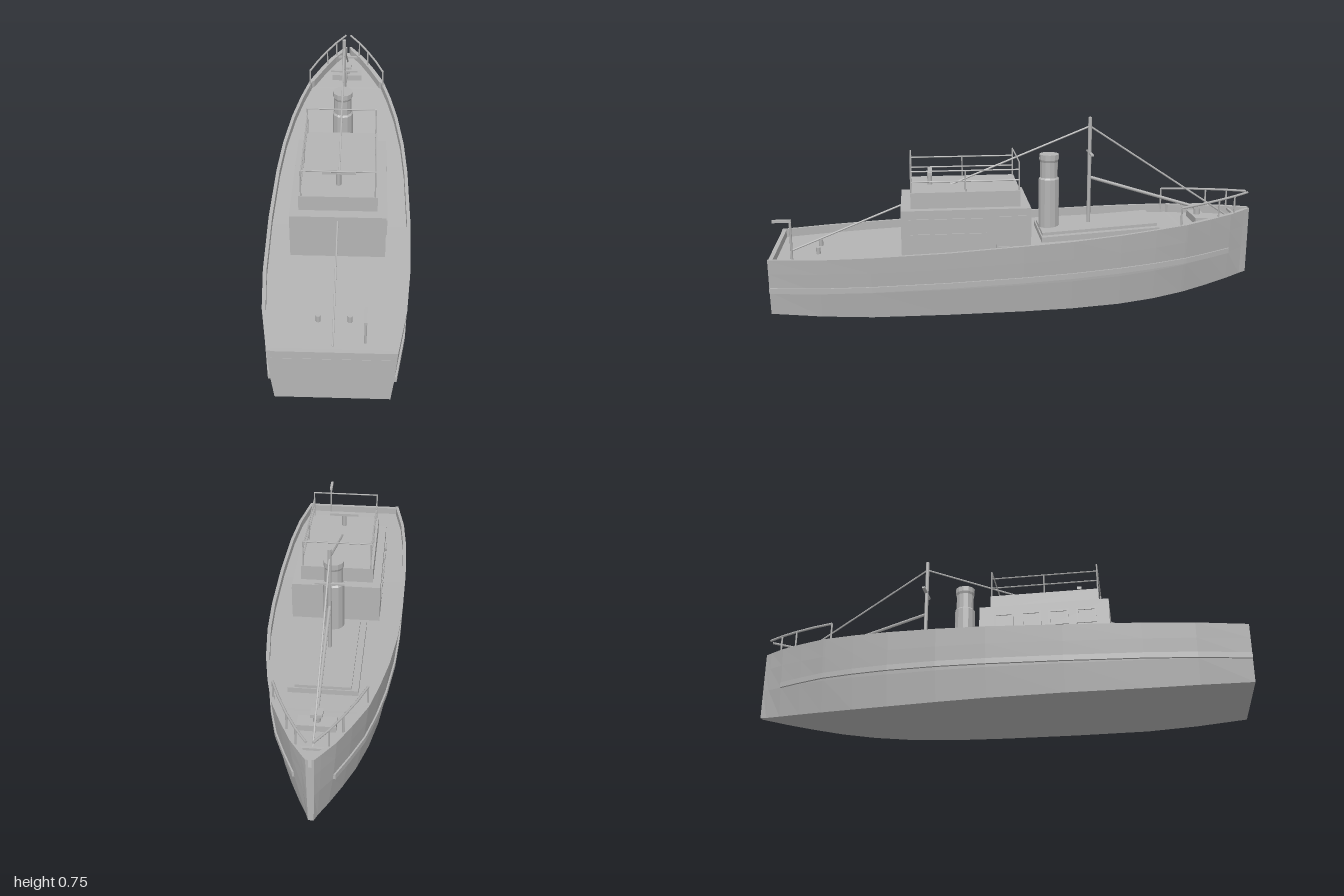
import * as THREE from 'three';

const grey = new THREE.MeshStandardMaterial({ color: 0xb4b4b4 });
grey.name = 'plain grey';

// Hull stations: z, half-width at keel, half-width at rail, keel height, rail height
const stations = [
  [1, 0.205, 0.225, 0.015, 0.243], [0.8, 0.232, 0.26, 0.006, 0.248], [0.6, 0.246, 0.276, 0, 0.255],
  [0.3, 0.25, 0.283, 0, 0.267], [0, 0.243, 0.278, 0, 0.284], [-0.2, 0.23, 0.266, 0, 0.294],
  [-0.4, 0.205, 0.241, 0.003, 0.306], [-0.55, 0.175, 0.212, 0.01, 0.316], [-0.68, 0.138, 0.18, 0.02, 0.324],
  [-0.69, 0.135, 0.177, 0.021, 0.325], [-0.8, 0.094, 0.13, 0.033, 0.332], [-0.9, 0.052, 0.082, 0.045, 0.338],
  [-0.97, 0.02, 0.036, 0.055, 0.343], [-1, 0.01, 0.015, 0.06, 0.345],
];
const lerp = THREE.MathUtils.lerp;

// Interpolated station at any z
function stationAt(z) {
  let i = 0;
  while (i < stations.length - 2 && stations[i + 1][0] > z) i++;
  const a = stations[i], b = stations[i + 1], t = (z - a[0]) / (b[0] - a[0]);
  return a.map((v, k) => lerp(v, b[k], t));
}
const deckY = (z) => stationAt(z)[4] - 0.035;

// Half-width of the hull side at height y
function sideWidth([, wb, wt, yk, yt], y) {
  return lerp(wb, wt, Math.pow((y - yk) / (yt - yk), 0.7));
}

// Faceted skin over closed counter-clockwise sections, running towards -z, with end caps
function loft(sections, zs) {
  const pos = [], n = sections[0].length;
  const put = (i, j) => pos.push(sections[i][j % n].x, sections[i][j % n].y, zs[i]);
  for (let i = 0; i < zs.length - 1; i++) {
    for (let j = 0; j < n; j++) {
      put(i, j); put(i + 1, j); put(i, j + 1);
      put(i + 1, j); put(i + 1, j + 1); put(i, j + 1);
    }
  }
  const last = zs.length - 1;
  for (const [a, b, c] of THREE.ShapeUtils.triangulateShape(sections[0], [])) { put(0, a); put(0, b); put(0, c); }
  for (const [a, b, c] of THREE.ShapeUtils.triangulateShape(sections[last], [])) { put(last, c); put(last, b); put(last, a); }
  const g = new THREE.BufferGeometry();
  g.setAttribute('position', new THREE.Float32BufferAttribute(pos, 3));
  g.computeVertexNormals();
  return g;
}

export function createModel() {
  const model = new THREE.Group();
  model.name = 'boat';

  const add = (name, geometry) => {
    const m = new THREE.Mesh(geometry, grey);
    m.name = name;
    model.add(m);
    return m;
  };
  // Box given by its limits
  const box = (name, x0, x1, y0, y1, z0, z1) => {
    const m = add(name, new THREE.BoxGeometry(x1 - x0, y1 - y0, z1 - z0));
    m.position.set((x0 + x1) / 2, (y0 + y1) / 2, (z0 + z1) / 2);
    return m;
  };
  // Round bar between two points
  const rod = (name, a, b, r = 0.004, sides = 6) => {
    const p = new THREE.Vector3(...a), d = new THREE.Vector3(...b).sub(p);
    const m = add(name, new THREE.CylinderGeometry(r, r, d.length(), sides));
    m.position.copy(p).addScaledVector(d, 0.5);
    m.quaternion.setFromUnitVectors(new THREE.Vector3(0, 1, 0), d.normalize());
    return m;
  };

  // Hull with bulwarks and sunken deck
  const zs = stations.map((s) => s[0]);
  add('hull', loft(stations.map((s) => {
    const [z, wb, wt, yk, yt] = s;
    const inner = Math.max(wt - (z < -0.685 ? 0.022 : 0.014), wt * 0.4);
    const half = [[wb, yk]];
    for (const t of [0.42, 0.75]) {
      const y = lerp(yk, yt, t);
      half.push([sideWidth(s, y), y]);
    }
    half.push([wt, yt], [inner, yt], [inner, yt - 0.035]);
    const mirrored = half.map(([x, y]) => [-x, y]).reverse();
    return [...half, ...mirrored].map(([x, y]) => new THREE.Vector2(x, y));
  }), zs));
  box('sternBulwark', -0.215, 0.215, 0.2, 0.24, 0.982, 0.999);

  // Rubbing strakes along both sides
  const strakeStations = stations.filter((s) => s[0] > -0.95);
  for (const side of [1, -1]) {
    add('rubbingStrake', loft(strakeStations.map((s) => {
      const y = lerp(0.105, 0.168, Math.pow((1 - s[0]) / 1.95, 1.4));
      const w = sideWidth(s, y + 0.01);
      const pts = [[w - 0.01, y], [w + 0.008, y], [w + 0.008, y + 0.022], [w - 0.01, y + 0.022]]
        .map(([x, py]) => new THREE.Vector2(side * x, py));
      return side > 0 ? pts : pts.reverse();
    }), strakeStations.map((s) => s[0])));
  }

  // Deckhouse in two tiers
  box('cabin', -0.183, 0.183, 0.2, 0.415, -0.04, 0.48);
  box('upperCabin', -0.15, 0.15, 0.415, 0.48, 0, 0.44);

  // Raised frame around a side window or door
  const frame = (name, side, z0, z1, y0, y1) => {
    const s = new THREE.Shape([[z0, y0], [z1, y0], [z1, y1], [z0, y1]].map((p) => new THREE.Vector2(...p)));
    const e = 0.008;
    s.holes.push(new THREE.Path([[z0 + e, y0 + e], [z0 + e, y1 - e], [z1 - e, y1 - e], [z1 - e, y0 + e]]
      .map((p) => new THREE.Vector2(...p))));
    const g = new THREE.ExtrudeGeometry(s, { depth: 0.006, bevelEnabled: false });
    g.rotateY(-Math.PI / 2);
    const m = add(name, g);
    m.position.x = side > 0 ? 0.188 : -0.182;
  };
  for (let i = 0; i < 4; i++) frame('windowFrame', -1, 0.02 + i * 0.11, 0.1 + i * 0.11, 0.315, 0.38);
  frame('windowFrame', 1, 0.13, 0.45, 0.31, 0.38);
  frame('doorFrame', 1, -0.02, 0.1, 0.25, 0.385);

  // Roof railing
  for (const x of [-0.14, 0.14]) {
    for (const z of [0.437, 0.22, 0.004]) rod('railPost', [x, 0.47, z], [x, z === 0.22 ? 0.567 : 0.597, z], 0.003);
    for (const y of [0.522, 0.565]) rod('sideRail', [x, y, 0.437], [x, y, 0.004], 0.003);
  }
  for (const z of [0.437, 0.004]) rod('crossRail', [-0.142, 0.595, z], [0.142, 0.595, z], 0.003);

  // Steering stand on the roof
  rod('standPost', [0, 0.475, 0.36], [0, 0.535, 0.36], 0.01, 8);
  box('standTop', -0.063, 0.063, 0.53, 0.541, 0.35, 0.367);

  // Funnel
  const funnelProfile = [[0, 0.24], [0.043, 0.24], [0.043, 0.493], [0.037, 0.5], [0.037, 0.565],
    [0.041, 0.575], [0.041, 0.597], [0, 0.597]].map((p) => new THREE.Vector2(...p));
  const funnel = add('funnel', new THREE.LatheGeometry(funnelProfile, 12).toNonIndexed());
  funnel.geometry.computeVertexNormals();
  funnel.position.z = -0.135;

  // Mast, boom and stays
  rod('mast', [0, 0.25, -0.305], [0, 0.748, -0.305], 0.008, 8);
  box('mastCrossbar', -0.057, 0.057, 0.594, 0.601, -0.313, -0.301);
  rod('boom', [0, 0.495, -0.305], [0, 0.355, -0.76], 0.007);
  rod('foreStay', [0, 0.71, -0.305], [0, 0.31, -0.91]);
  rod('aftStay', [0, 0.71, -0.305], [0, 0.21, 0.94]);

  // Cargo hatch following the slope of the deck
  for (const [w, z0, z1, h] of [[0.133, -0.58, -0.09, 0.022], [0.107, -0.575, -0.095, 0.034]]) {
    const g = new THREE.BoxGeometry(w * 2, h + 0.01, z1 - z0);
    g.translate(0, (h - 0.01) / 2, (z0 + z1) / 2);
    const p = g.attributes.position;
    for (let i = 0; i < p.count; i++) p.setY(i, p.getY(i) + deckY(p.getZ(i)));
    g.computeVertexNormals();
    add('cargoHatch', g);
  }

  // Winch on the foredeck
  box('winchBase', -0.07, 0.07, 0.28, 0.322, -0.805, -0.75);
  rod('winchPost', [0, 0.32, -0.775], [0, 0.352, -0.775], 0.014, 10);
  box('winchCap', -0.022, 0.022, 0.35, 0.363, -0.795, -0.755);
  box('bowBeam', -0.06, 0.06, 0.322, 0.332, -0.93, -0.92);

  // Bow handrails
  for (const side of [1, -1]) {
    const railZ = [-0.66, -0.75, -0.84, -0.92, -0.99];
    const railPoint = (z) => [side * Math.max(stationAt(z)[2] - 0.012, 0.012), lerp(0.395, 0.414, (-0.66 - z) / 0.33), z];
    for (let i = 0; i < railZ.length - 1; i++) rod('bowRail', railPoint(railZ[i]), railPoint(railZ[i + 1]), 0.005);
    for (const z of [-0.66, -0.84, -0.92]) {
      const p = railPoint(z);
      rod('bowRailPost', [p[0], deckY(z), z], p);
    }
  }

  // Stern davit and mooring bollards
  rod('davitPost', [0.113, 0.2, 0.92], [0.113, 0.37, 0.92], 0.005);
  box('davitArm', 0.107, 0.119, 0.364, 0.375, 0.915, 0.99);
  for (const x of [-0.057, 0.057]) rod('bollard', [x, 0.205, 0.82], [x, 0.24, 0.82], 0.009, 8);

  return model;
}
